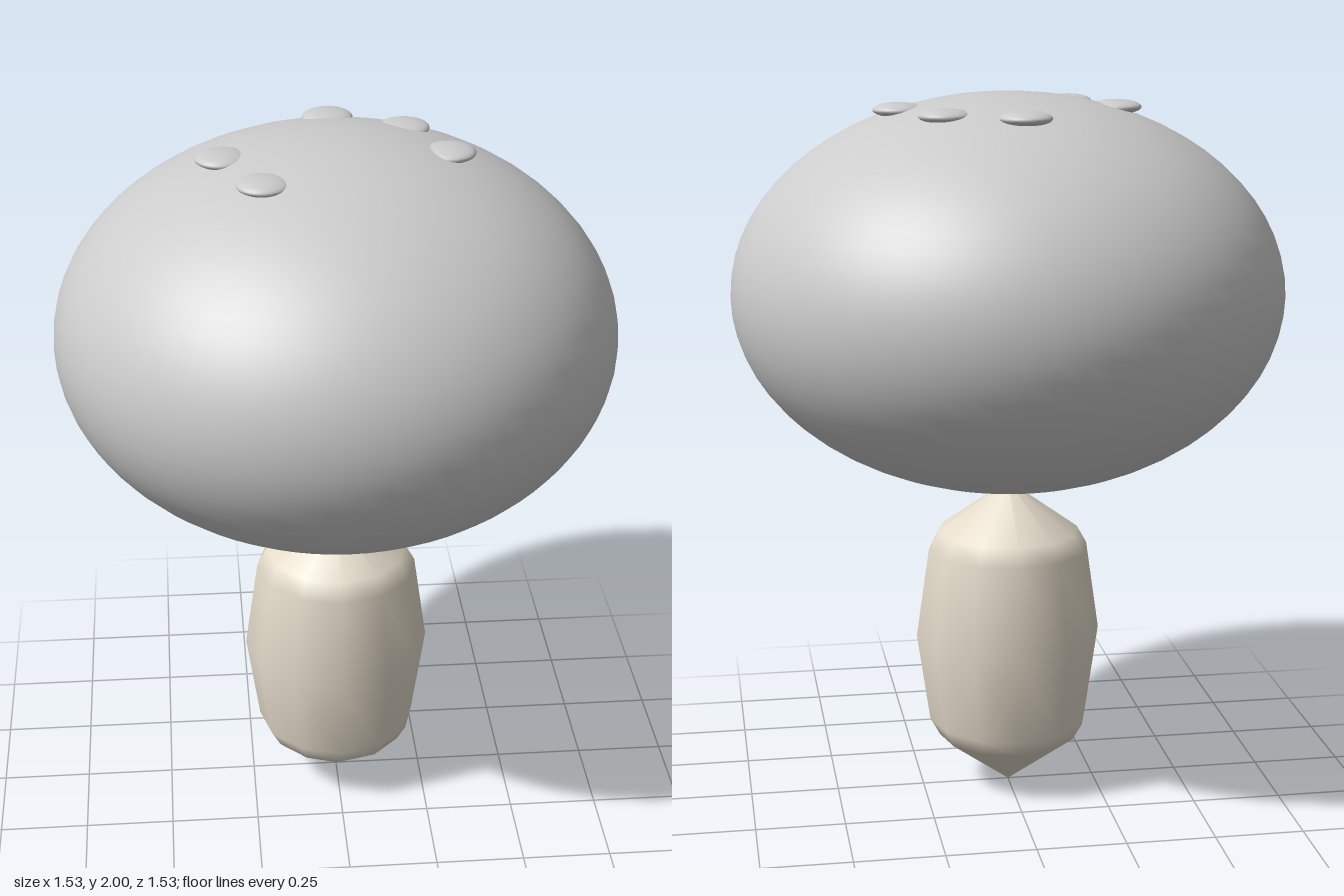
import * as THREE from 'three';

const mat = (color) => new THREE.MeshStandardMaterial({ color });

// Smooth ellipsoid centred at (x, y, z)
function ellipsoid(name, r, h, x, y, z, material, segs) {
  const mesh = new THREE.Mesh(new THREE.SphereGeometry(1, segs, segs / 2), material);
  mesh.name = name;
  mesh.scale.set(r, h, r);
  mesh.position.set(x, y, z);
  return mesh;
}

export function createModel() {
  const group = new THREE.Group();
  group.name = 'mushroom';
  const grey = mat(0xcccccc);

  // Cap
  group.add(ellipsoid('cap', 0.765, 0.547, 0, 1.453, 0, grey, 64));

  // Flattened spots, half sunk into the top of the cap
  const spots = [[0, -0.3], [0.2, -0.2], [0.3, 0], [-0.3, 0], [-0.2, 0.2]];
  spots.forEach(([x, z], i) => {
    group.add(ellipsoid('spot' + (i + 1), 0.07, 0.02, x, 1.956, z, grey, 32));
  });

  // Twelve-sided barrel stem, pointed at both ends
  const profile = [
    [0, 0.005], [0.2, 0.15], [0.228, 0.2], [0.265, 0.457],
    [0.228, 0.714], [0.2, 0.764], [0, 0.908],
  ].map(([r, y]) => new THREE.Vector2(r, y));
  profile[0].y = 0;
  const stem = new THREE.Mesh(new THREE.LatheGeometry(profile, 12), mat(0xe3dac9));
  stem.name = 'stem';
  group.add(stem);

  return group;
}
